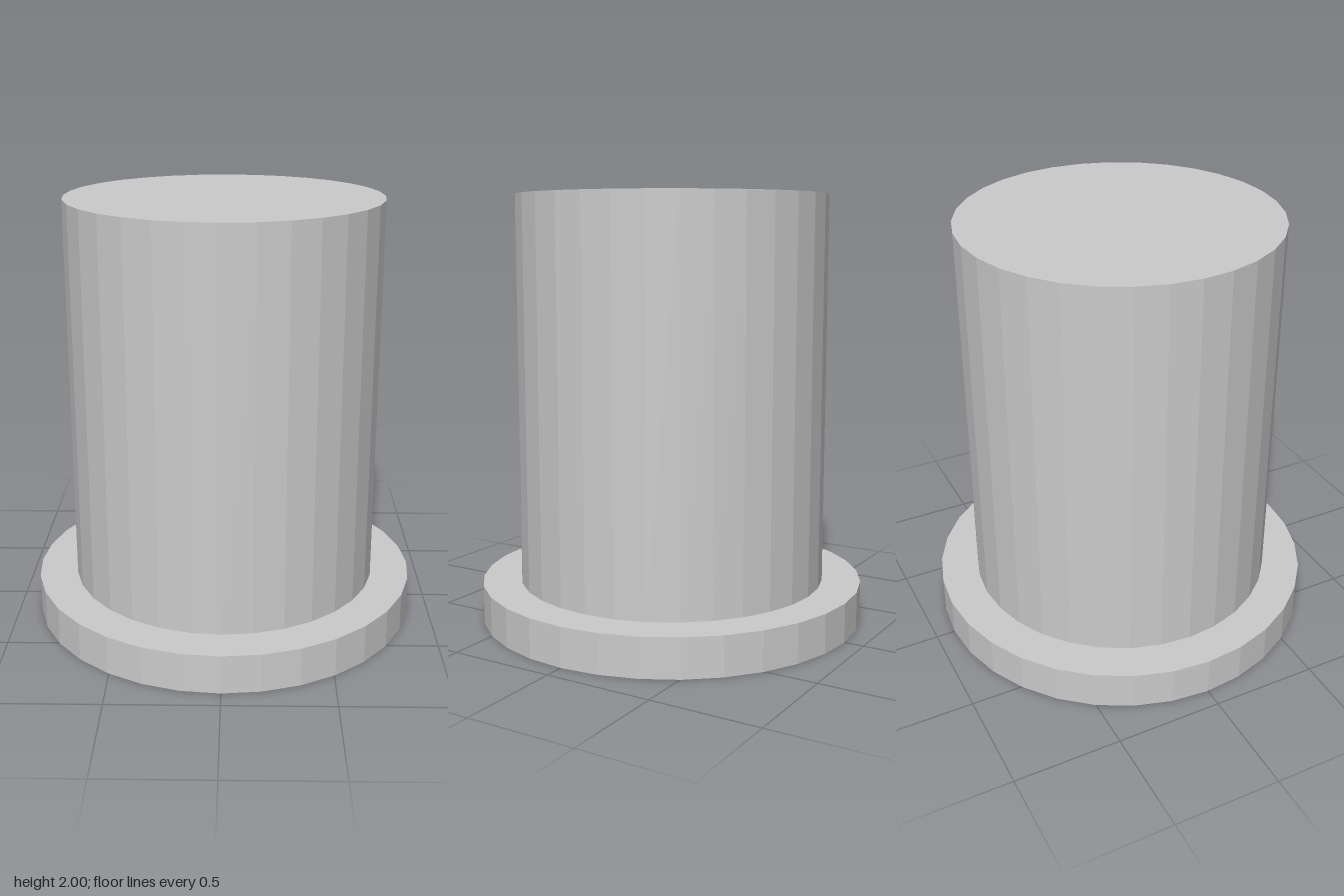
import * as THREE from 'three';

const SIDES = 32;

export function createModel() {
  const group = new THREE.Group();
  group.name = 'flangedPin';
  const material = new THREE.MeshStandardMaterial({ color: 0xcccccc, flatShading: true });

  // Upright cylinder spanning bottom to top
  const addDisc = (name, radius, bottom, top) => {
    const mesh = new THREE.Mesh(
      new THREE.CylinderGeometry(radius, radius, top - bottom, SIDES), material);
    mesh.name = name;
    mesh.position.y = (bottom + top) / 2;
    group.add(mesh);
  };

  const flangeHeight = 0.182;
  addDisc('baseFlange', 0.909, 0, flangeHeight); // wide foot
  addDisc('shaft', 0.727, flangeHeight, 2);      // tall solid body

  return group;
}
